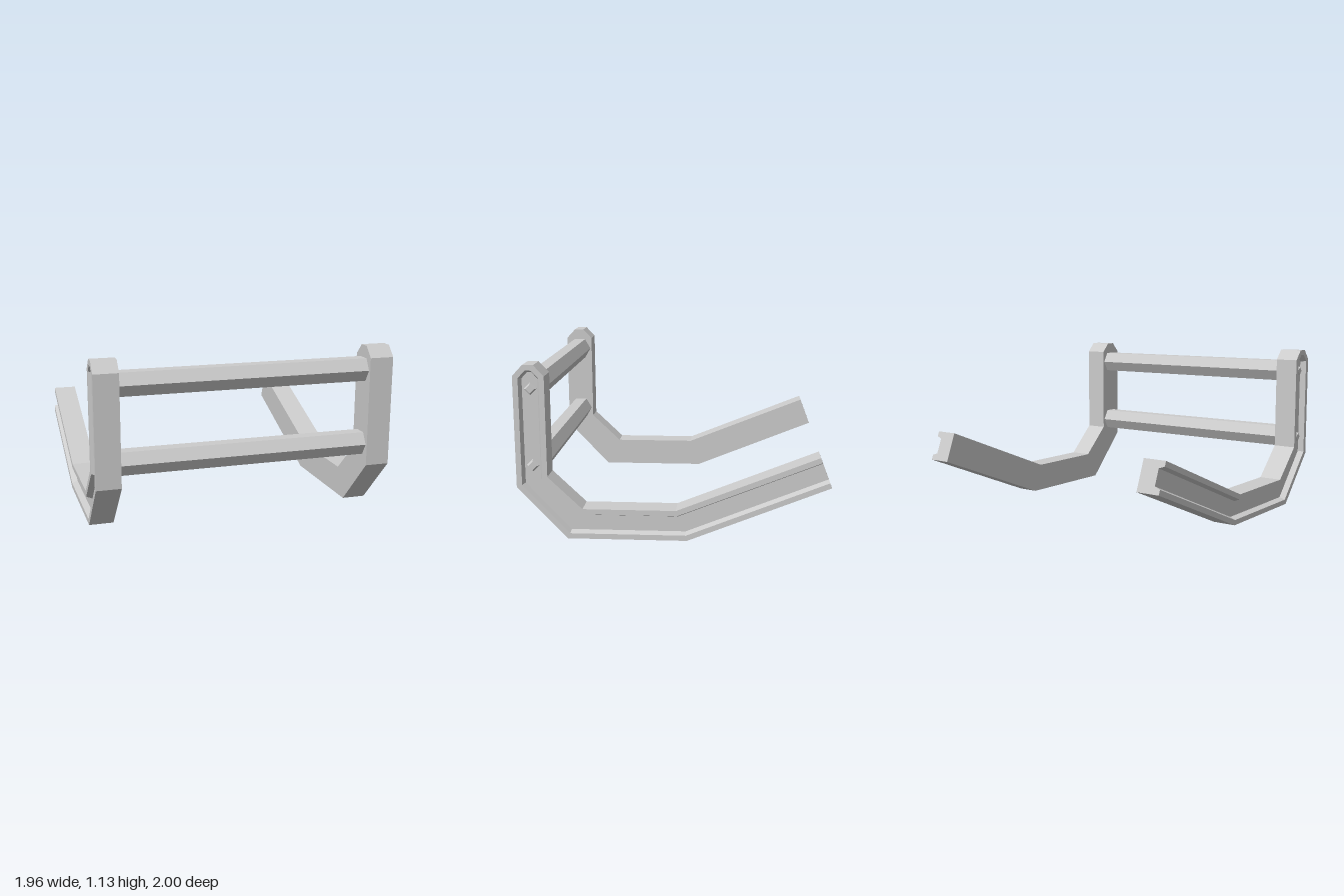
import * as THREE from 'three';

const material = new THREE.MeshStandardMaterial({ color: 0xcccccc, flatShading: true });

// Side rail outline as [z, y], counter-clockwise; edge END is the open rear tip
const OUTLINE = [
  [1, 1.06], [0.935, 1.13], [0.865, 1.13], [0.8, 1.06], [0.8, 0.41], [0.58, 0.2],
  [-0.02, 0.2], [-0.925, 0.565], [-1, 0.37], [-0.09, 0], [0.68, 0], [1, 0.34],
];
const END = 7;
const X_IN = 0.82, X_OUT = 0.98, X_FLOOR = 0.94;

// Move every edge inwards by d, except the rear tip, and intersect neighbours
function inset(points, d) {
  const n = points.length;
  const lines = points.map(([z, y], i) => {
    const [z2, y2] = points[(i + 1) % n];
    const len = Math.hypot(z2 - z, y2 - y);
    const u = (z2 - z) / len, v = (y2 - y) / len;
    const s = i === END ? 0 : d;
    return { z: z - v * s, y: y + u * s, u, v };
  });
  return lines.map((b, i) => {
    const a = lines[(i + n - 1) % n];
    const t = ((b.z - a.z) * b.v - (b.y - a.y) * b.u) / (a.u * b.v - a.v * b.u);
    return [a.z + a.u * t, a.y + a.v * t];
  });
}

// Rail with a sloped channel sunk into its outer face
function railGeometry(side) {
  const rim = inset(OUTLINE, 0.035), floor = inset(OUTLINE, 0.05);
  const ring = (pts, x) => pts.map(([z, y]) => [x * side, y, z]);
  const rings = [ring(OUTLINE, X_IN), ring(OUTLINE, X_OUT), ring(rim, X_OUT), ring(floor, X_FLOOR)];
  const pos = [];
  const tri = (a, b, c) => pos.push(...a, ...(side > 0 ? b : c), ...(side > 0 ? c : b));
  const quad = (a, b, c, d) => { tri(a, b, c); tri(a, c, d); };
  const n = OUTLINE.length;

  // outer sides, lip and channel walls
  for (let r = 0; r < 3; r++) {
    for (let i = 0; i < n; i++) {
      const j = (i + 1) % n;
      if (i !== END) quad(rings[r][i], rings[r + 1][i], rings[r + 1][j], rings[r][j]);
    }
  }

  // C-shaped cap at the rear tip
  const a = rings.map((r) => r[END]), b = rings.map((r) => r[END + 1]);
  quad(a[0], a[3], b[3], b[0]);
  quad(a[0], a[1], a[2], a[3]);
  quad(b[0], b[3], b[2], b[1]);

  // inner face and channel floor
  const fill = (pts, ringPts, flip) => {
    const contour = pts.map(([z, y]) => new THREE.Vector2(z, y));
    for (const [p, q, s] of THREE.ShapeUtils.triangulateShape(contour, [])) {
      tri(ringPts[p], ringPts[flip ? s : q], ringPts[flip ? q : s]);
    }
  };
  fill(OUTLINE, rings[0], false);
  fill(floor, rings[3], true);

  const geometry = new THREE.BufferGeometry();
  geometry.setAttribute('position', new THREE.Float32BufferAttribute(pos, 3));
  geometry.computeVertexNormals();
  return geometry;
}

export function createModel() {
  const model = new THREE.Group();
  const add = (name, geometry, x = 0, y = 0, z = 0) => {
    const mesh = new THREE.Mesh(geometry, material);
    mesh.name = name;
    mesh.position.set(x, y, z);
    model.add(mesh);
  };

  const barHeights = [['lower', 0.477], ['upper', 0.975]];
  const barZ = 0.897;

  // Hexagonal cross bars
  for (const [level, y] of barHeights) {
    const bar = new THREE.CylinderGeometry(0.086, 0.086, 2 * X_IN, 6).rotateZ(Math.PI / 2);
    add(`${level}CrossBar`, bar, 0, y, barZ);
  }

  // Channelled rails and the bolts inside them
  for (const side of [1, -1]) {
    const label = side > 0 ? 'left' : 'right';
    add(`${label}Rail`, railGeometry(side));
    for (const [level, y] of barHeights) {
      const bolt = new THREE.CylinderGeometry(0.028, 0.042, 0.025, 4).rotateZ(-side * Math.PI / 2);
      add(`${label}${level === 'upper' ? 'Upper' : 'Lower'}Bolt`, bolt, side * (X_FLOOR + 0.0115), y, barZ);
    }
  }
  return model;
}
